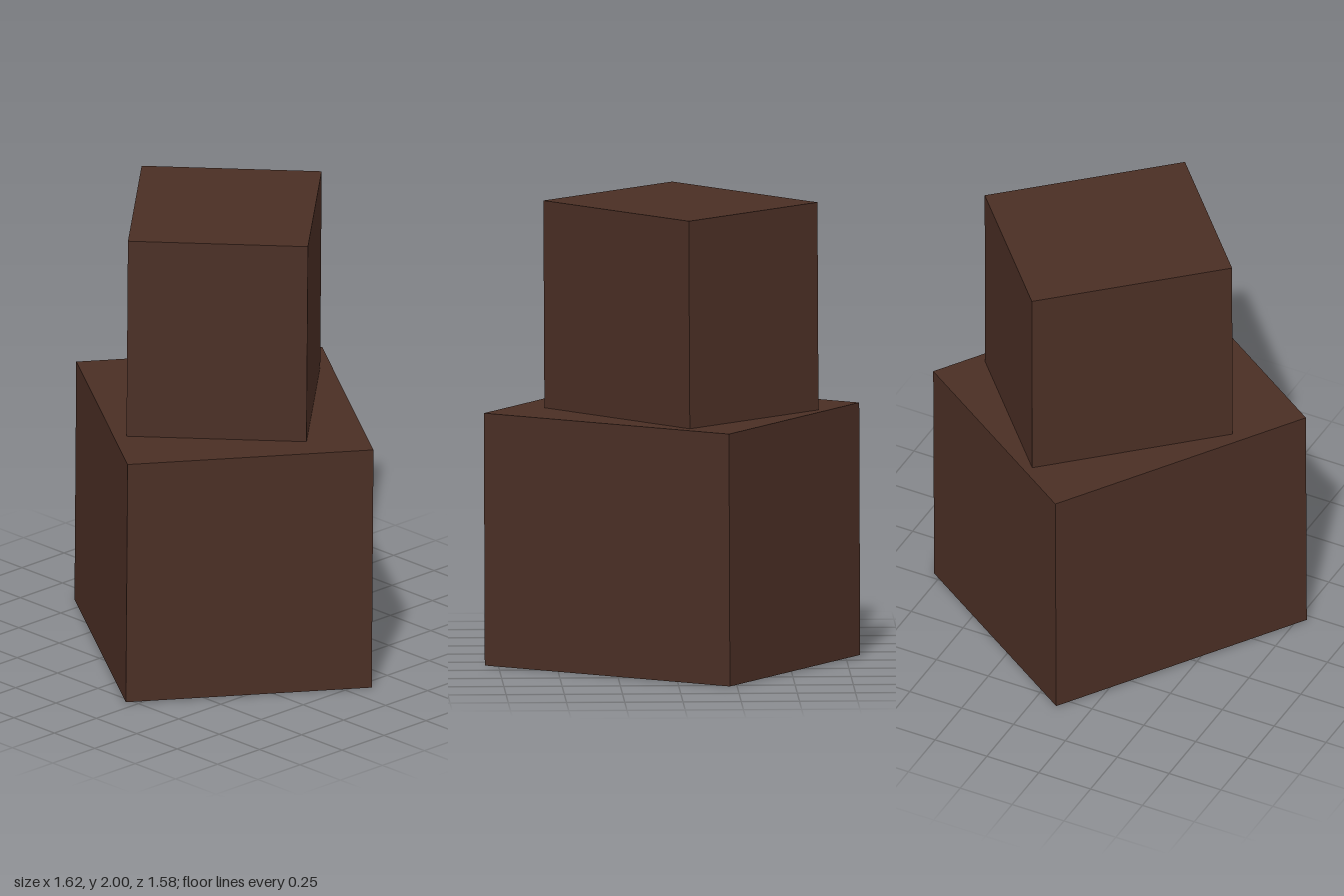
import * as THREE from 'three';

const brown = new THREE.MeshStandardMaterial({ color: 0x4a2e24 });
brown.name = 'darkBrown';

// A block turned about y, leaning very slightly backwards
function block(name, [w, h, d], [x, y, z], turn) {
  const mesh = new THREE.Mesh(new THREE.BoxGeometry(w, h, d), brown);
  mesh.name = name;
  mesh.position.set(x, y, z);
  mesh.rotation.set(-0.007, turn, 0, 'YXZ');
  return mesh;
}

export function createModel() {
  const group = new THREE.Group();
  group.name = 'stackedBlocks';
  group.add(
    block('lowerBlock', [1.232, 1.094, 1.072], [0, 0.551, 0], -0.586),
    block('upperBlock', [0.89, 0.9, 0.774], [-0.037, 1.547, -0.036], -0.832),
  );
  return group;
}
